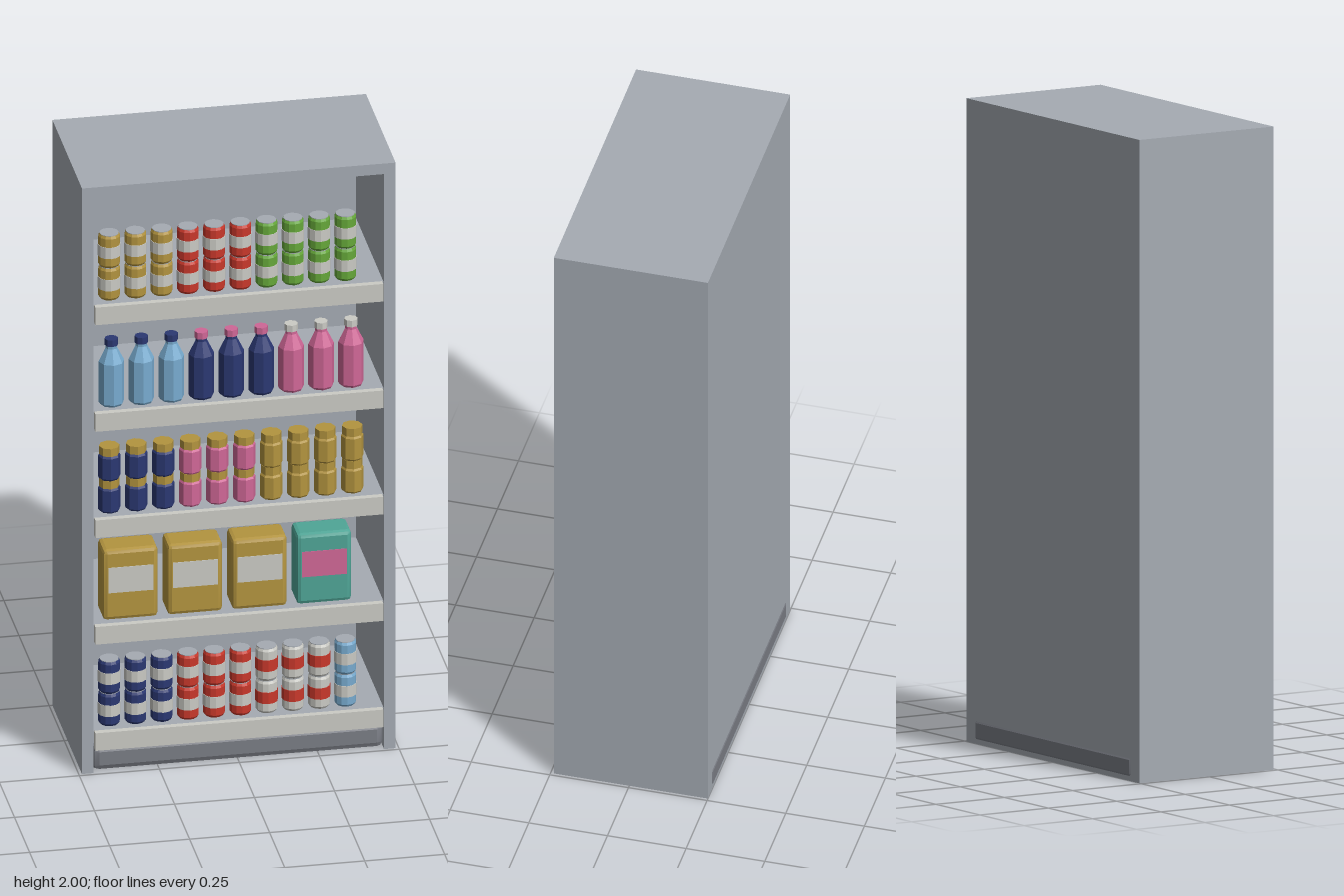
import * as THREE from 'three';
import { toCreasedNormals } from 'three/addons/utils/BufferGeometryUtils.js';
import { RoundedBoxGeometry } from 'three/addons/geometries/RoundedBoxGeometry.js';

const paint = (name, color) => {
  const m = new THREE.MeshStandardMaterial({ color });
  m.name = name;
  return m;
};

export function createModel() {
  const grey = paint('cabinet grey', 0xa5abb3);
  const dark = paint('plinth grey', 0x7a7d85);
  const white = paint('off white', 0xcbcbc5);
  const gold = paint('gold', 0xb3943f);
  const red = paint('red', 0xc9382b);
  const green = paint('green', 0x66a83a);
  const sky = paint('light blue', 0x78abcf);
  const navy = paint('navy', 0x2b3872);
  const pink = paint('pink', 0xcf6796);
  const teal = paint('teal', 0x4fa596);

  const model = new THREE.Group();
  model.name = 'stockedShelf';

  const add = (parent, name, geo, mat, x = 0, y = 0, z = 0) => {
    const mesh = new THREE.Mesh(geo, mat);
    mesh.name = name;
    mesh.position.set(x, y, z);
    parent.add(mesh);
    return mesh;
  };
  const group = (parent, name, x = 0, y = 0, z = 0) => {
    const g = new THREE.Group();
    g.name = name;
    g.position.set(x, y, z);
    parent.add(g);
    return g;
  };
  const box = (w, h, d) => new THREE.BoxGeometry(w, h, d);
  const chamferBox = (w, h, d, r) => toCreasedNormals(new RoundedBoxGeometry(w, h, d, 1, r), 0.3);
  // Faceted turned solid from [radius, height] pairs, bottom to top
  const turned = (sides, profile) => toCreasedNormals(
    new THREE.LatheGeometry(profile.map(([r, y]) => new THREE.Vector2(r, y)), sides), 0.3);

  // Cabinet shell
  const cabinet = group(model, 'cabinet');
  for (const s of [-1, 1]) add(cabinet, 'sidePanel', box(0.036, 2, 0.49), grey, s * 0.472, 1, -0.005);
  add(cabinet, 'topPanel', box(0.908, 0.036, 0.49), grey, 0, 1.982, -0.005);
  add(cabinet, 'backPanel', box(0.908, 1.964, 0.025), grey, 0, 0.982, -0.2375);
  add(cabinet, 'plinth', chamferBox(0.908, 0.085, 0.484, 0.02), dark, 0, 0.0425, -0.01);

  // Shelves with a price strip along the front
  const shelfTops = [0.14, 0.503, 0.867, 1.23, 1.594];
  for (const y of shelfTops) {
    add(cabinet, 'shelfBoard', box(0.908, 0.04, 0.455), grey, 0, y - 0.022, 0.0025);
    add(cabinet, 'priceStrip', box(0.9, 0.06, 0.02), white, 0, y - 0.03, 0.24);
  }

  // Shared product shapes
  const canBody = turned(12, [[0, 0], [0.029, 0], [0.034, 0.008], [0.034, 0.1], [0.03, 0.108], [0, 0.108]]);
  const canBand = turned(12, [[0.034, 0.034], [0.0355, 0.034], [0.0355, 0.072], [0.034, 0.072]]);
  const canLid = turned(12, [[0.03, 0.106], [0.03, 0.11], [0, 0.11]]);
  const jarBody = turned(8, [[0, 0], [0.031, 0], [0.035, 0.006], [0.035, 0.076], [0.03, 0.084], [0, 0.084]]);
  const jarLid = turned(8, [[0, 0.083], [0.032, 0.083], [0.032, 0.11], [0, 0.11]]);
  const bottleBody = turned(8, [[0, 0], [0.035, 0], [0.04, 0.008], [0.04, 0.145], [0.018, 0.19], [0.018, 0.205], [0, 0.205]]);
  const bottleCap = turned(8, [[0, 0.2], [0.021, 0.2], [0.021, 0.222], [0, 0.222]]);
  const cartonBody = chamferBox(0.172, 0.24, 0.1, 0.013);
  const cartonLabel = box(0.14, 0.086, 0.004);

  // Each product takes its main and accent colours
  const canStack = (parent, main, accent) => {
    for (const y of [0, 0.11]) {
      const can = group(parent, 'can', 0, y);
      add(can, 'canBody', canBody, main);
      add(can, 'canBand', canBand, accent);
      add(can, 'canLid', canLid, grey);
    }
  };
  const jarStack = (parent, main, accent) => {
    for (const y of [0, 0.11]) {
      const jar = group(parent, 'jar', 0, y);
      add(jar, 'jarBody', jarBody, main);
      add(jar, 'jarLid', jarLid, accent);
    }
  };
  const bottle = (parent, main, accent) => {
    add(parent, 'bottleBody', bottleBody, main);
    add(parent, 'bottleCap', bottleCap, accent);
  };
  const carton = (parent, main, accent) => {
    add(parent, 'cartonBody', cartonBody, main, 0, 0.12, 0);
    add(parent, 'cartonLabel', cartonLabel, accent, 0, 0.138, 0.05);
  };

  // Row of products: runs of [count, main, accent] from left to right
  const row = (name, shelf, make, x0, step, z, runs) => {
    const g = group(model, name, 0, shelfTops[shelf], z);
    let i = 0;
    for (const [count, main, accent] of runs)
      for (let k = 0; k < count; k++) make(group(g, name + 'Item', x0 + step * i++), main, accent);
  };
  row('lowerCans', 0, canStack, -0.394, 0.082, 0.18,
    [[3, navy, white], [3, red, white], [3, white, red], [1, sky, white]]);
  row('cartons', 1, carton, -0.333, 0.2017, 0.165, [[3, gold, white], [1, teal, pink]]);
  row('jars', 2, jarStack, -0.394, 0.0844, 0.18, [[3, navy, gold], [3, pink, gold], [4, gold, gold]]);
  row('bottles', 3, bottle, -0.387, 0.0936, 0.18, [[3, sky, navy], [3, navy, pink], [3, pink, white]]);
  row('upperCans', 4, canStack, -0.394, 0.082, 0.18, [[3, gold, white], [3, red, white], [4, green, white]]);

  return model;
}
